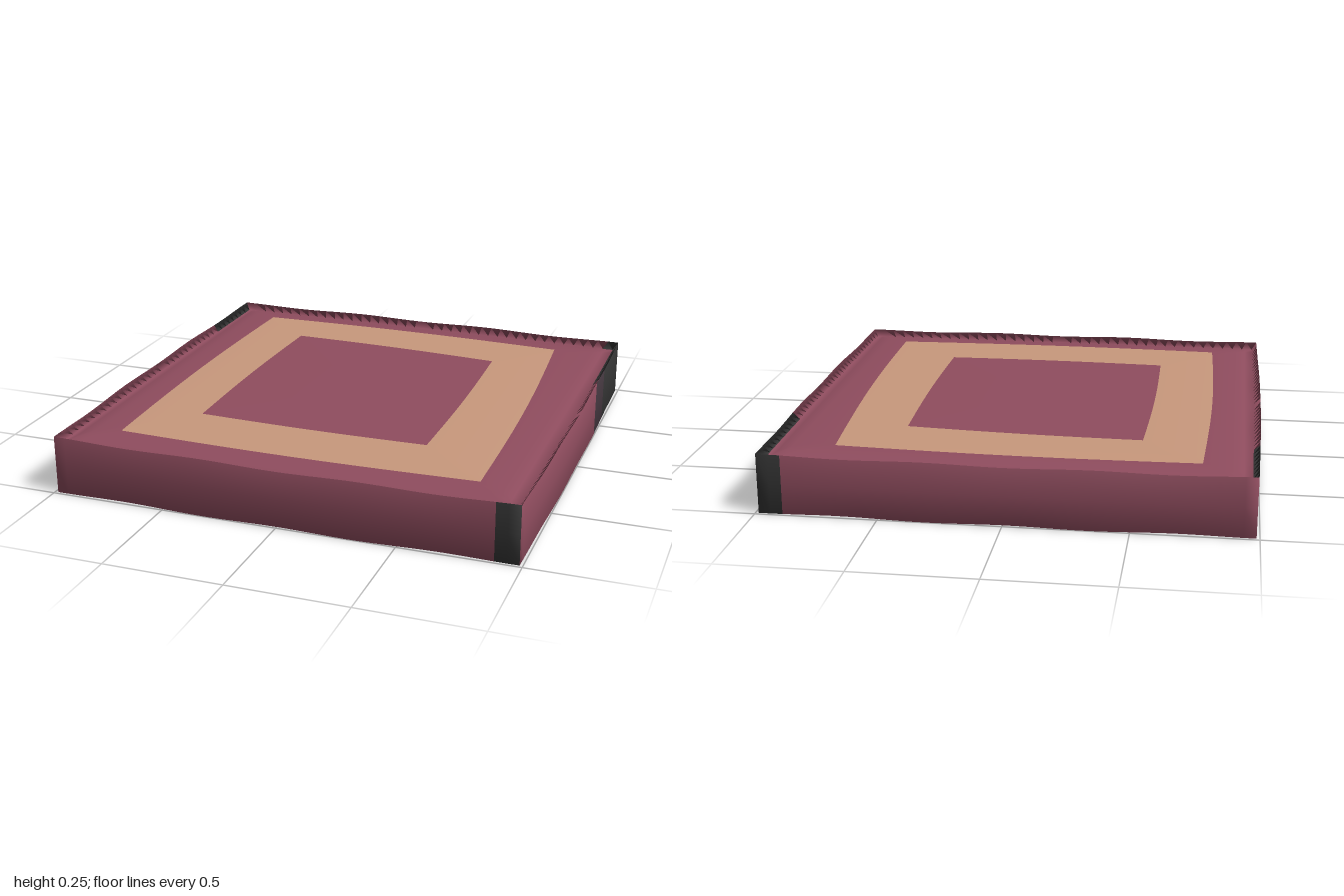
import * as THREE from 'three';

const SEG = 40; // segments along each side of a square ring
const COLS = SEG * 4;
const TOP = 0.25;

const flat = (name, color) =>
  new THREE.MeshStandardMaterial({ name, color, side: THREE.DoubleSide });

// Closed four-sided ring; corners run front left, front right, back right, back left
function ring(corners, y, bow = 0) {
  const pts = [];
  for (let s = 0; s < 4; s++) {
    const a = corners[s], b = corners[(s + 1) % 4];
    for (let i = 0; i < SEG; i++) {
      const t = i / SEG, k = 1 + bow * Math.sin(Math.PI * t);
      pts.push([(a[0] + (b[0] - a[0]) * t) * (s % 2 ? k : 1), y,
        (a[1] + (b[1] - a[1]) * t) * (s % 2 ? 1 : k)]);
    }
  }
  return pts;
}
const square = (h) => [[-h, h], [h, h], [h, -h], [-h, -h]];

// Indices of the skin between rows r0..r1 and columns c0..c1
function patch(r0, r1, c0 = 0, c1 = COLS) {
  const index = [];
  for (let r = r0; r < r1; r++) {
    for (let j = c0; j < c1; j++) {
      const k = (j + 1) % COLS;
      const a = r * COLS + j, b = a + COLS, c = (r + 1) * COLS + k, d = r * COLS + k;
      index.push(a, b, c, a, c, d);
    }
  }
  return index;
}

export function createModel() {
  const rose = flat('rose', 0x904d5f);
  const tan = flat('tan', 0xc9997d);
  const charcoal = flat('charcoal', 0x353535);
  const plum = flat('plum', 0x44373f);

  // Upper half from the middle of the face out to the gently wavy rim
  const inner = [[-0.53, 0.53], [0.48, 0.54], [0.47, -0.54], [-0.52, -0.59]];
  const outer = [[-0.77, 0.81], [0.78, 0.81], [0.71, -0.81], [-0.77, -0.83]];
  const upper = [
    ring(square(0), 0.242), ring(inner, 0.242, 0.02), ring(outer, 0.239, 0.025),
    ring(square(0.88), 0.236), ring(square(0.93), 0.228),
    ring(square(0.965), 0.217, 0.006), ring(square(0.987), TOP, 0.013),
  ];
  upper[6].forEach((p, i) => { p[1] -= 0.003 * (1 - Math.cos(i * 0.47)); });

  // Bulging side, then the upper half mirrored to the underside
  const middle = ring(square(0.987), TOP / 2, 0.013);
  const lower = upper.map((row) => row.map(([x, y, z]) => [x, TOP - y, z])).reverse();
  const rows = [...upper, middle, ...lower];

  // One smooth skin; every part below uses a patch of it
  const skin = new THREE.BufferGeometry();
  skin.setAttribute('position', new THREE.Float32BufferAttribute(rows.flat(2), 3));
  skin.setIndex(patch(0, rows.length - 1));
  skin.computeVertexNormals();

  const model = new THREE.Group();
  model.name = 'cushion';
  const add = (name, material, index) => {
    const g = new THREE.BufferGeometry();
    g.setAttribute('position', skin.attributes.position);
    g.setAttribute('normal', skin.attributes.normal);
    g.setIndex(index);
    const mesh = new THREE.Mesh(g, material);
    mesh.name = name;
    model.add(mesh);
  };

  // Panels, bands and padded borders of both faces
  add('topPanel', rose, patch(0, 1));
  add('topBand', tan, patch(1, 2));
  add('topBorder', rose, patch(2, 5));
  add('bottomBorder', rose, patch(8, 12));
  add('bottomBand', tan, patch(12, 13));
  add('bottomPanel', rose, patch(13, 14));

  // Top edge, dark towards the rear of both sides
  const edge = [
    ['topEdge', 0, 69, rose], ['rearLeftEdge', 69, 81, charcoal],
    ['backEdge', 81, 120, rose], ['rearRightEdge', 120, 128, charcoal],
    ['rightEdge', 128, 160, rose],
  ];
  // Side walls with dark patches at the rear and at the front left corner
  const walls = [
    ['frontWall', 0, 38, rose], ['cornerPatch', 38, 40, charcoal],
    ['leftWall', 40, 68, rose], ['plumPatch', 68, 72, plum],
    ['rearLeftPatch', 72, 80, charcoal], ['backCornerPatch', 80, 82, charcoal],
    ['backWall', 82, 120, rose], ['rearRightPatch', 120, 131, charcoal],
    ['rightWall', 131, 160, rose],
  ];
  for (const [name, c0, c1, mat] of edge) add(name, mat, patch(5, 6, c0, c1));
  for (const [name, c0, c1, mat] of walls) add(name, mat, patch(6, 8, c0, c1));
  return model;
}
